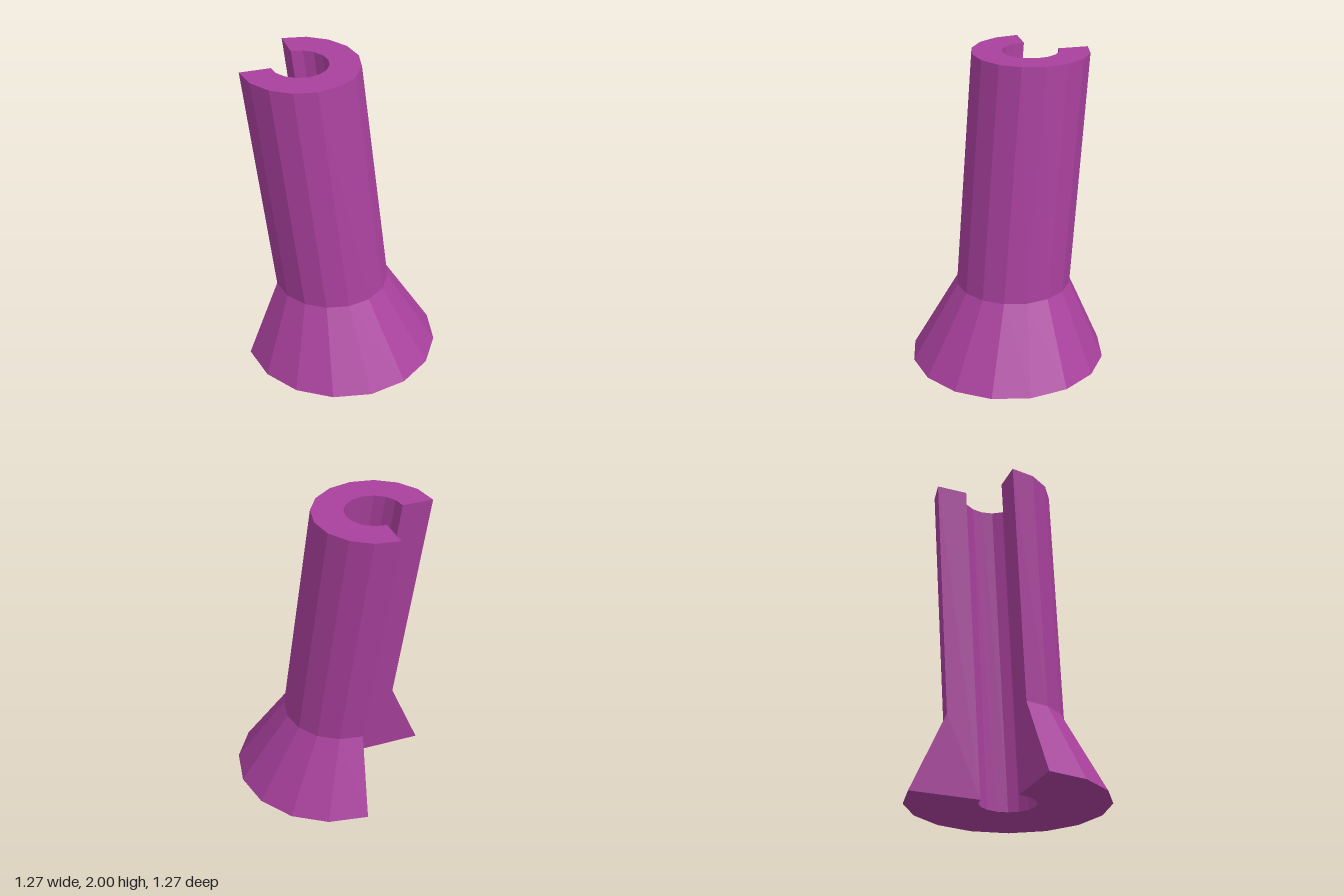
import * as THREE from 'three';

// Leaning C-shaped tube with a flared foot: a section swept through 270 degrees, then sheared.
export function createModel() {
  const purple = new THREE.MeshStandardMaterial({ color: 0xa8409c });
  purple.name = 'purple';

  // Section as [radius, height]: outer foot, neck, outer rim, inner rim, inner foot
  const section = [[0.636, 0], [0.373, 0.5], [0.375, 2], [0.18, 2], [0.18, 0]];
  const segments = 12;
  const lean = -0.195 / 2; // sideways shift per unit of height, in both x and z

  const ring = (i) => {
    let deg = -90 + i * 22.5;
    if (i === 0) deg -= 1; // the cut ends reach slightly past the quarter lines
    if (i === segments) deg += 1;
    const a = THREE.MathUtils.degToRad(deg);
    return section.map(([r, y]) => [r * Math.cos(a) + lean * y, y, r * Math.sin(a) + lean * y]);
  };
  const rings = Array.from({ length: segments + 1 }, (_, i) => ring(i));

  const positions = [];
  const tri = (a, b, c) => positions.push(...a, ...b, ...c);

  // Walls, rim and underside
  for (let i = 0; i < segments; i++) {
    for (let j = 0; j < section.length; j++) {
      const k = (j + 1) % section.length;
      const p = rings[i], q = rings[i + 1];
      tri(p[j], p[k], q[k]);
      tri(p[j], q[k], q[j]);
    }
  }

  // Flat faces on both sides of the slot, fanned from the inner foot
  const first = rings[0], last = rings[segments];
  for (let j = 0; j < 3; j++) {
    tri(first[4], first[j + 1], first[j]);
    tri(last[4], last[j], last[j + 1]);
  }

  const geometry = new THREE.BufferGeometry();
  geometry.setAttribute('position', new THREE.Float32BufferAttribute(positions, 3));
  geometry.computeVertexNormals(); // unshared corners give flat facets

  const tube = new THREE.Mesh(geometry, purple);
  tube.name = 'slottedTube';
  const group = new THREE.Group();
  group.name = 'leaningSlottedTube';
  group.add(tube);
  return group;
}
